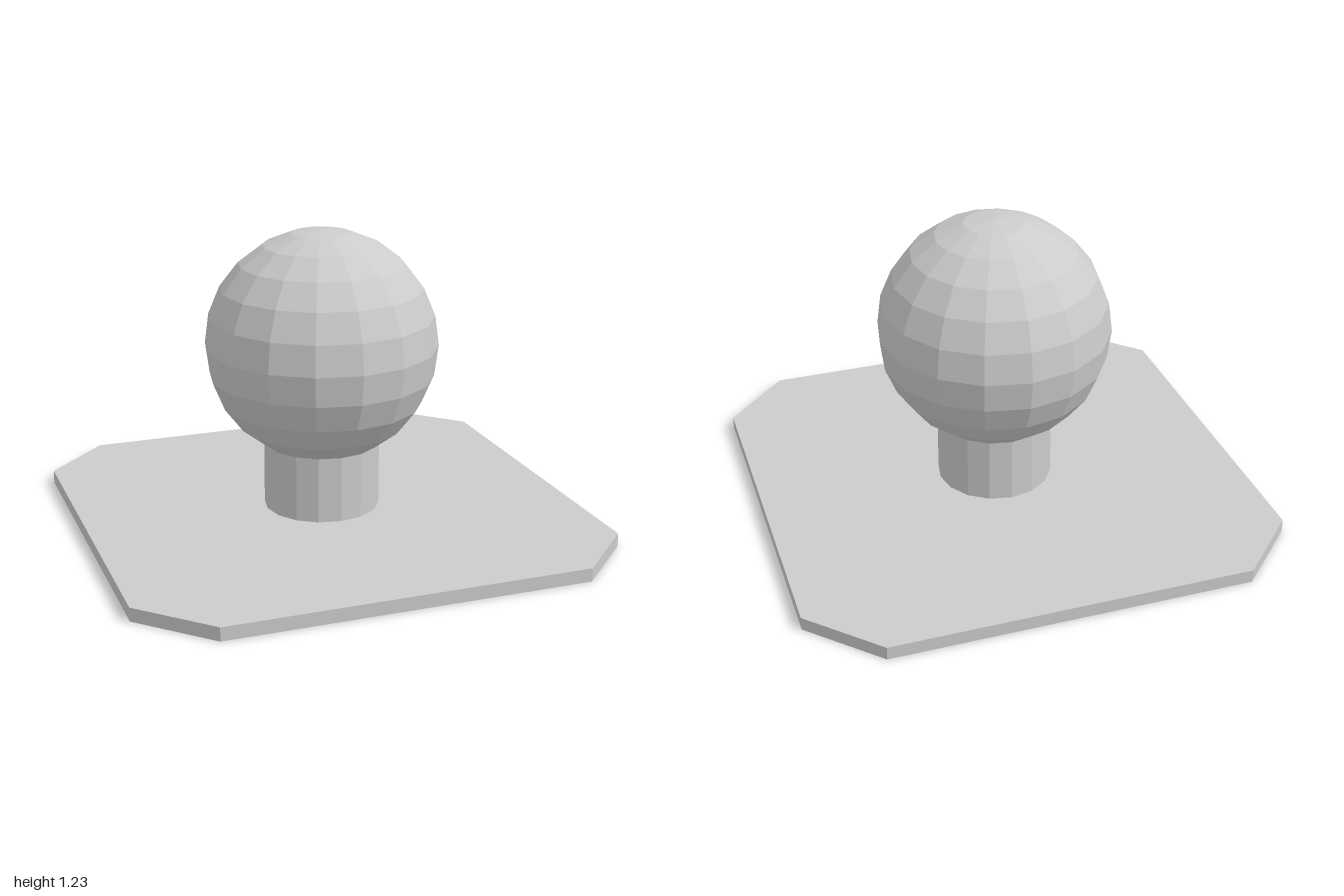
import * as THREE from 'three';

export function createModel() {
  const model = new THREE.Group();
  const material = new THREE.MeshStandardMaterial({ color: 0xcccccc, flatShading: true });
  const add = (name, geometry, y) => {
    const mesh = new THREE.Mesh(geometry, material);
    mesh.name = name;
    mesh.position.y = y;
    model.add(mesh);
  };

  const plateHeight = 0.055;
  const sides = 16;
  const ballRadius = 0.48;
  const ballY = 0.745;
  const neckRadius = ballRadius / 2;
  const neckTop = ballY - ballRadius * Math.sin(Math.PI / 3);

  // Square base plate with chamfered corners
  const half = 1, cut = 0.737;
  const outline = new THREE.Shape([
    [cut, -half], [half, -cut], [half, cut], [cut, half],
    [-cut, half], [-half, cut], [-half, -cut], [-cut, -half],
  ].map(([x, y]) => new THREE.Vector2(x, y)));
  const plate = new THREE.ExtrudeGeometry(outline, { depth: plateHeight, bevelEnabled: false });
  plate.rotateX(-Math.PI / 2);
  add('basePlate', plate, 0);

  // Short neck, meeting the ball along one of its rings
  const neckHeight = neckTop - plateHeight;
  add('neck', new THREE.CylinderGeometry(neckRadius, neckRadius, neckHeight, sides, 1, true),
    plateHeight + neckHeight / 2);

  // Faceted ball, open where it joins the neck
  add('ball', new THREE.SphereGeometry(ballRadius, sides, 10, 0, Math.PI * 2, 0, Math.PI * 5 / 6), ballY);

  return model;
}
